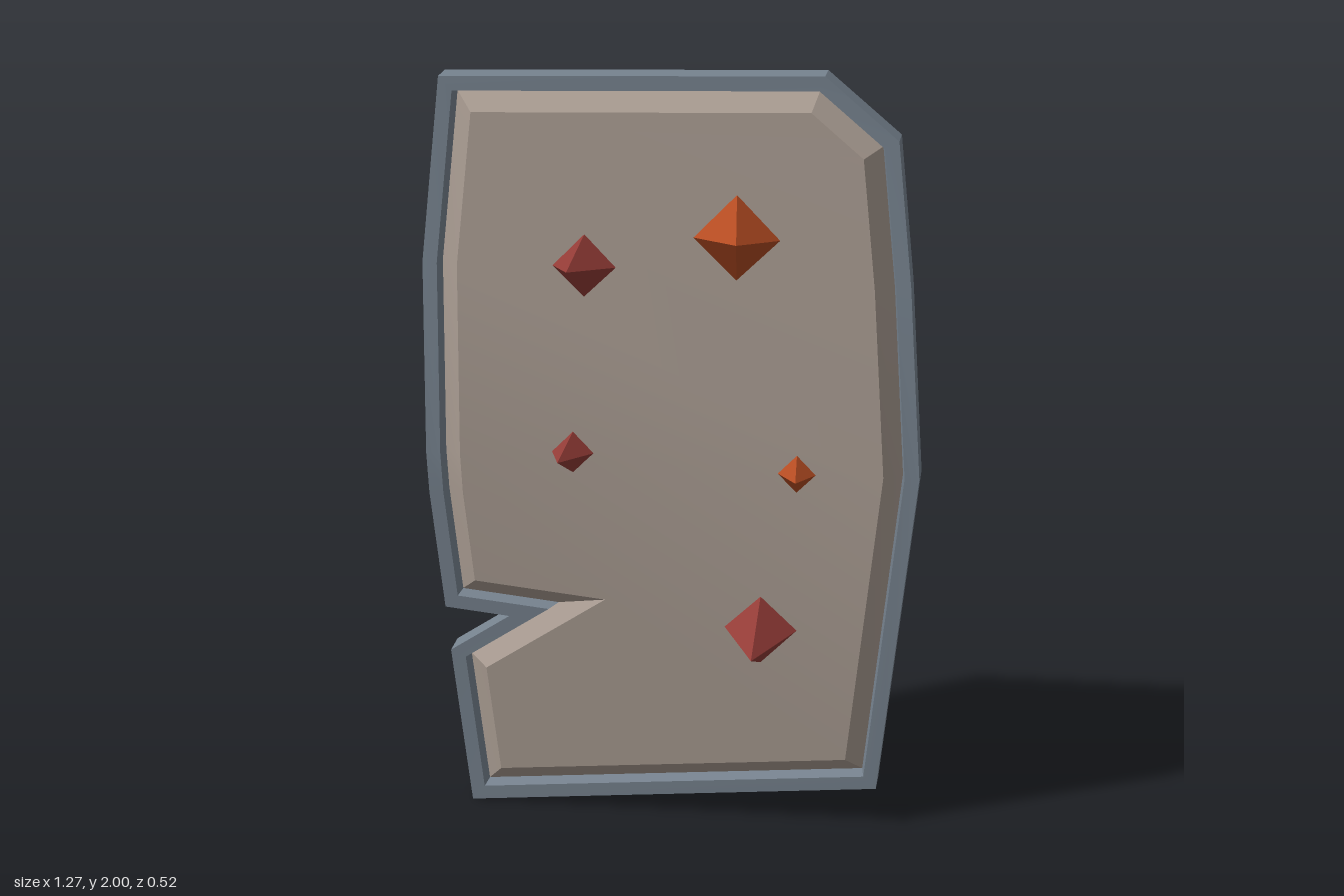
import * as THREE from 'three';
import { toCreasedNormals } from 'three/addons/utils/BufferGeometryUtils.js';

const mat = (name, color) => {
  const m = new THREE.MeshStandardMaterial({ color });
  m.name = name;
  return m;
};

// Shield outline, counter-clockwise from the right middle; MID is the left middle
const OUTLINE = [
  [0.635, 0.99], [0.6, 1.48], [0.56, 1.845], [0.375, 2], [-0.59, 1.972], [-0.637, 1.5], [-0.634, 1],
  [-0.63, 0.89], [-0.6, 0.565], [-0.43, 0.548], [-0.59, 0.44], [-0.545, 0], [0.54, 0.105],
].map(([x, y]) => new THREE.Vector2(x, y));
const MID = 6;

// Forward bulge of the plate around mid height
const bulge = (y) => 0.055 * Math.max(0, 1 - Math.abs(y - 1) / 0.9);

// Outline moved inwards by d with mitred corners, at depth z
function ring(d, z) {
  const n = OUTLINE.length;
  return OUTLINE.map((p, i) => {
    const a = p.clone().sub(OUTLINE[(i + n - 1) % n]).normalize();
    const b = OUTLINE[(i + 1) % n].clone().sub(p).normalize();
    const na = new THREE.Vector2(-a.y, a.x), nb = new THREE.Vector2(-b.y, b.x);
    const q = na.clone().add(nb).multiplyScalar(d / (1 + na.dot(nb))).add(p);
    return new THREE.Vector3(q.x, q.y, z + bulge(q.y));
  });
}

// Strip of quads between two rings
function band(out, a, b) {
  a.forEach((p, i) => {
    const j = (i + 1) % a.length;
    out.push(p, a[j], b[j], p, b[j], b[i]);
  });
}

// Flat cap in two halves, folded along the middle line
function cap(out, r, back) {
  for (const half of [r.slice(0, MID + 1), [...r.slice(MID), r[0]]]) {
    const flat = half.map((p) => new THREE.Vector2(p.x, p.y));
    for (const [a, b, c] of THREE.ShapeUtils.triangulateShape(flat, [])) {
      if (back) out.push(half[a], half[c], half[b]);
      else out.push(half[a], half[b], half[c]);
    }
  }
}

function addMesh(group, name, geometry, material) {
  const mesh = new THREE.Mesh(geometry, material);
  mesh.name = name;
  group.add(mesh);
  return mesh;
}

const fromTriangles = (pts) => {
  const g = new THREE.BufferGeometry().setFromPoints(pts);
  return toCreasedNormals(g, 0.3);
};

export function createModel() {
  const group = new THREE.Group();
  group.name = 'spikedShield';
  const steel = mat('steel blue grey', 0x76828e);
  const hide = mat('taupe panel', 0xa89b91);
  const iron = mat('dark iron', 0x545158);
  const red = mat('dark red', 0x943c37);
  const orange = mat('rust orange', 0xb54c22);

  // Plate: back, outer wall, front rim and groove wall
  const back = ring(0, -0.06), front = ring(0, 0.02);
  const lip = ring(0.037, 0.02), groove = ring(0.044, -0.02), top = ring(0.09, 0.025);
  const plate = [];
  cap(plate, back, true);
  band(plate, back, front);
  band(plate, front, lip);
  band(plate, lip, groove);
  addMesh(group, 'plate', fromTriangles(plate), steel);

  // Bevelled front panel rising out of the groove
  const panel = [];
  band(panel, groove, top);
  cap(panel, top, false);
  addMesh(group, 'frontPanel', fromTriangles(panel), hide);

  // Four-sided spikes: centre x, y, radius, apex x, y, z
  const spikes = [
    [-0.22, 1.503, 0.086, -0.235, 1.535, 0.22, red],
    [0.163, 1.588, 0.112, 0.19, 1.63, 0.26, orange],
    [-0.247, 1.015, 0.068, -0.26, 1.045, 0.235, red],
    [0.322, 0.985, 0.065, 0.335, 1.01, 0.202, orange],
    [0.234, 0.555, 0.101, 0.235, 0.55, 0.26, red],
  ];
  spikes.forEach(([x, y, r, ax, ay, az, material], i) => {
    const apex = new THREE.Vector3(ax, ay, az);
    const corner = (k) => new THREE.Vector3(
      x + r * Math.cos(k * Math.PI / 2), y + r * Math.sin(k * Math.PI / 2), 0.037);
    const tris = [];
    for (let k = 0; k < 4; k++) tris.push(corner(k), corner(k + 1), apex);
    addMesh(group, `spike${i + 1}`, fromTriangles(tris), material);
  });

  // Back handle: side profile (distance behind, height) extruded across
  const profile = [
    [-0.01, 1.148], [0.262, 1.055], [0.262, 0.58], [0.01, 0.505],
    [0.01, 0.57], [0.187, 0.625], [0.187, 1.017], [-0.01, 1.083],
  ].map(([x, y]) => new THREE.Vector2(x, y));
  const handle = new THREE.ExtrudeGeometry(new THREE.Shape(profile), { depth: 0.085, bevelEnabled: false });
  handle.rotateY(Math.PI / 2).translate(-0.065, 0, 0);
  addMesh(group, 'handle', handle, iron);

  return group;
}
